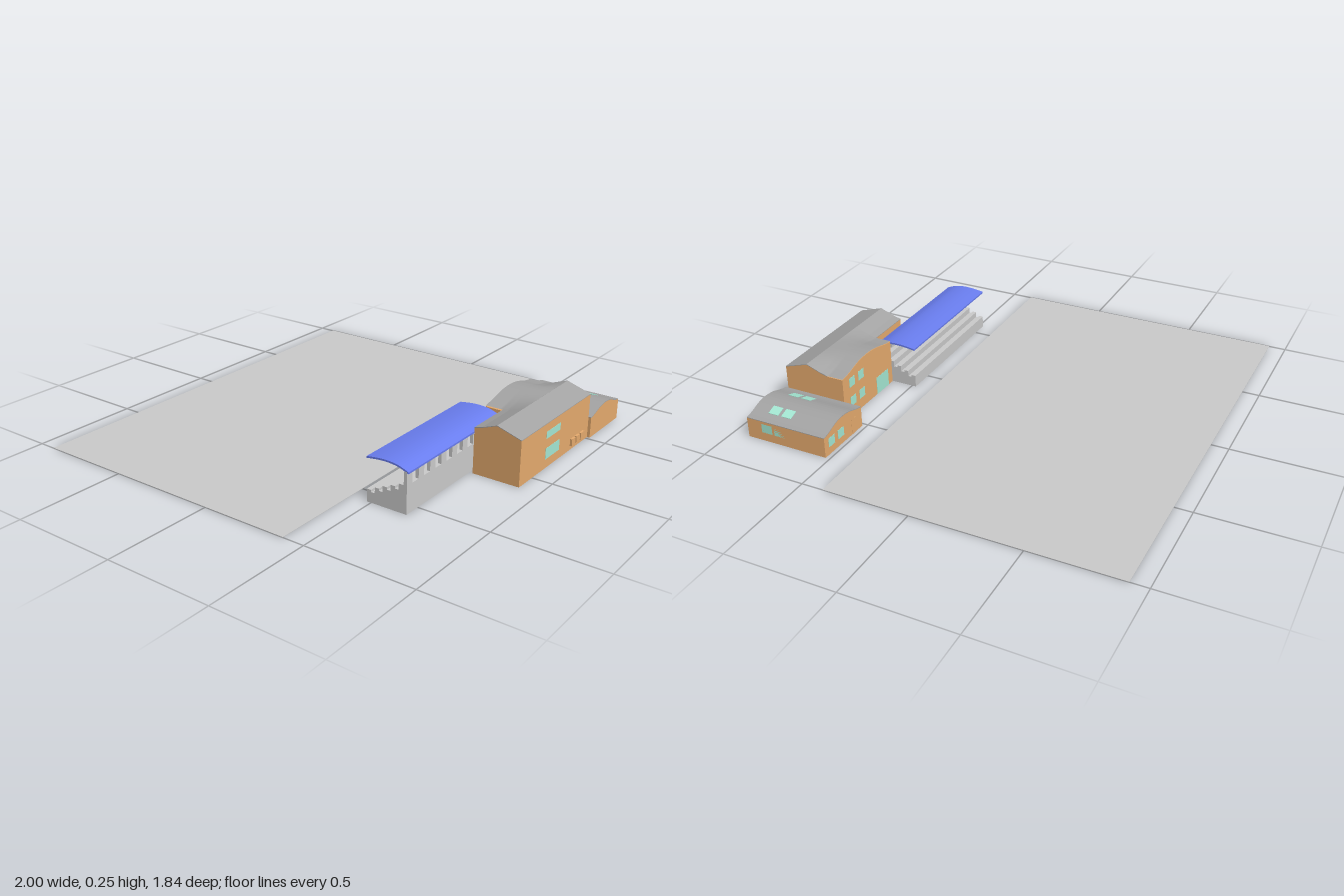
import * as THREE from 'three';
import { ParametricGeometry } from 'three/addons/geometries/ParametricGeometry.js';

const mat = (color, side = THREE.FrontSide) => new THREE.MeshStandardMaterial({ color, side });
const WALL = mat(0xe6ab6e), ROOF = mat(0xa4a4a4), GLASS = mat(0xa5e8d4), BLUE = mat(0x6a7ef0);
const GREY = mat(0xcccccc), SHEET = mat(0xa4a4a4, THREE.DoubleSide), UNDERSIDE = mat(0xe852ab);

export function createModel() {
  const model = new THREE.Group();
  const add = (name, geometry, material, parent) => {
    const mesh = new THREE.Mesh(geometry, material);
    mesh.name = name;
    parent.add(mesh);
  };
  const group = (name) => {
    const g = new THREE.Group();
    g.name = name;
    model.add(g);
    return g;
  };
  // Box given by its limits on each axis
  const box = (name, [x0, x1], [y0, y1], [z0, z1], material, parent) => {
    const g = new THREE.BoxGeometry(x1 - x0, y1 - y0, z1 - z0);
    g.translate((x0 + x1) / 2, (y0 + y1) / 2, (z0 + z1) / 2);
    add(name, g, material, parent);
  };
  // Outline swept along z (outline is x,y) or along x (outline is z,y)
  const sweep = (points, axis, a, b) => {
    const shape = new THREE.Shape(points.map(([u, v]) => new THREE.Vector2(u, v)));
    const g = new THREE.ExtrudeGeometry(shape, { depth: b - a, bevelEnabled: false });
    return axis === 'z' ? g.translate(0, 0, a) : g.rotateY(-Math.PI / 2).translate(b, 0, 0);
  };
  // Solid below a top line, and a thin slab lying on it
  const solid = (top, axis, a, b) =>
    sweep([[top[0][0], 0], ...top, [top[top.length - 1][0], 0]], axis, a, b);
  const slab = (top, t, axis, a, b) =>
    sweep([...top.map(([u, v]) => [u, v + t]), ...top.slice().reverse()], axis, a, b);
  const curve = (points) =>
    new THREE.SplineCurve(points.map(([u, v]) => new THREE.Vector2(u, v)))
      .getPoints(18).map((p) => [p.x, p.y]);
  // Bell-shaped vault line between x0 and x1
  const vault = (x0, x1, low, high) => curve(
    [[0, 0.06], [0.13, 0.3], [0.32, 0.82], [0.5, 1], [0.68, 0.82], [0.87, 0.24], [1, 0]]
      .map(([u, v]) => [x0 + u * (x1 - x0), low + v * (high - low)]));
  // Height of a top line at position u
  const heightAt = (line, u) => {
    const found = line.findIndex((p) => p[0] >= u);
    const i = found < 0 ? line.length - 1 : Math.max(1, found);
    const [a, b] = [line[i - 1], line[i]];
    return a[1] + (b[1] - a[1]) * (u - a[0]) / (b[0] - a[0]);
  };

  // Open field, with a differently coloured underside
  const field = group('field');
  box('fieldSurface', [-1, 1], [0, 0.002], [-0.92, 0.4],
    [GREY, GREY, GREY, UNDERSIDE, GREY, GREY], field);

  // Main hall: gabled body
  const hall = group('mainHall');
  const LOW = 0.208, HIGH = 0.243;
  const gable = [[0.685, LOW], [0.72, 0.217], [0.79, HIGH], [0.905, 0.207]];
  add('hallWalls', solid(gable, 'x', -0.11, 0.515), WALL, hall);
  add('hallRoof', slab(gable, 0.003, 'x', -0.11, 0.515), ROOF, hall);

  // Rear bay: its roof rises from the gable slope at both ends to ridge height in the middle
  const bay = vault(0.115, 0.515, LOW, HIGH);
  box('rearBay', [0.115, 0.515], [0, LOW], [0.606, 0.69], WALL, hall);
  add('rearBayWall', solid(bay, 'z', 0.606, 0.612), WALL, hall);
  add('rearBayRoof', new ParametricGeometry((u, v, p) => {
    const x = 0.115 + 0.4 * u, z = 0.605 + 0.185 * v;
    const base = z < 0.685 ? LOW : heightAt(gable, z);
    const rise = (heightAt(bay, x) - LOW) / (HIGH - LOW);
    p.set(x, base + rise * (HIGH - base) + 0.0035, z);
  }, 24, 16), SHEET, hall);

  // Low wing with a vaulted roof
  const wing = group('lowWing');
  const wingTop = vault(0.515, 0.8, 0.094, 0.127);
  add('wingWalls', solid(wingTop, 'z', 0.52, 0.918), WALL, wing);
  add('wingRoof', slab(wingTop, 0.003, 'z', 0.52, 0.918), ROOF, wing);

  // Pane on a wall facing along z or x
  const pane = (name, facing, u, v, at, parent, fill = GLASS) => {
    const depth = [at - 0.001, at + 0.001];
    if (facing === 'x') box(name, depth, v, u, fill, parent);
    else box(name, u, v, depth, fill, parent);
  };
  for (const v of [[0.042, 0.093], [0.137, 0.17]])
    pane('frontWindow', 'z', [0.11, 0.235], v, 0.905, hall);
  for (const v of [[0.05, 0.095], [0.145, 0.19]])
    for (const u of [[0.35, 0.393], [0.422, 0.465]])
      pane('rearWindow', 'z', u, v, 0.606, hall);
  pane('rearGlassDoor', 'z', [0.15, 0.25], [0, 0.085], 0.606, hall);
  for (let i = 0; i < 3; i++) {
    const x = 0.342 + i * 0.043;
    box('frontVent', [x, x + 0.034], [0.02, 0.053], [0.9, 0.915], WALL, hall);
  }
  for (const u of [[0.725, 0.779], [0.79, 0.844]])
    pane('sideWindow', 'x', u, [0.04, 0.082], 0.799, wing);
  for (const u of [[0.655, 0.7], [0.725, 0.77]])
    pane('wingRearWindow', 'z', u, [0.035, 0.078], 0.52, wing);
  pane('wingRearDoor', 'z', [0.56, 0.595], [0, 0.075], 0.52, wing, WALL);

  // Skylights lying along the vault
  for (const [x0, x1] of [[0.56, 0.605], [0.708, 0.75]])
    for (const [z0, z1] of [[0.722, 0.772], [0.788, 0.838]])
      add('skylight', slab([x0, (x0 + x1) / 2, x1].map((x) => [x, heightAt(wingTop, x) + 0.001]),
        0.004, 'z', z0, z1), GLASS, wing);

  // Stepped stand facing the field: each row is a seat with a lower footway behind it
  const stand = group('stand');
  const rows = [];
  for (let i = 0; i < 5; i++) {
    const z = 0.48 + i * 0.038, y = 0.057 + i * 0.017;
    rows.push([z, y], [z + 0.02, y]);
    if (i < 4) rows.push([z + 0.02, y - 0.01], [z + 0.038, y - 0.01]);
  }
  rows.push([0.67, 0.125]);
  add('standRows', solid(rows, 'x', -0.578, 0.113), GREY, stand);

  // Rear wall piers between openings, and a head beam under the canopy
  for (let i = 0; i < 9; i++) {
    const x = -0.578 + i * 0.081;
    box('pier', [x, x + 0.038], [0.12, 0.184], [0.655, 0.67], GREY, stand);
  }
  box('headBeam', [-0.578, 0.113], [0.178, 0.184], [0.655, 0.67], GREY, stand);

  // Curved canopy over the stand
  const arc = curve([[0.478, 0.191], [0.53, 0.198], [0.58, 0.2], [0.63, 0.194], [0.677, 0.177]]);
  add('canopy', slab(arc, 0.008, 'x', -0.578, 0.115), BLUE, stand);

  return model;
}
